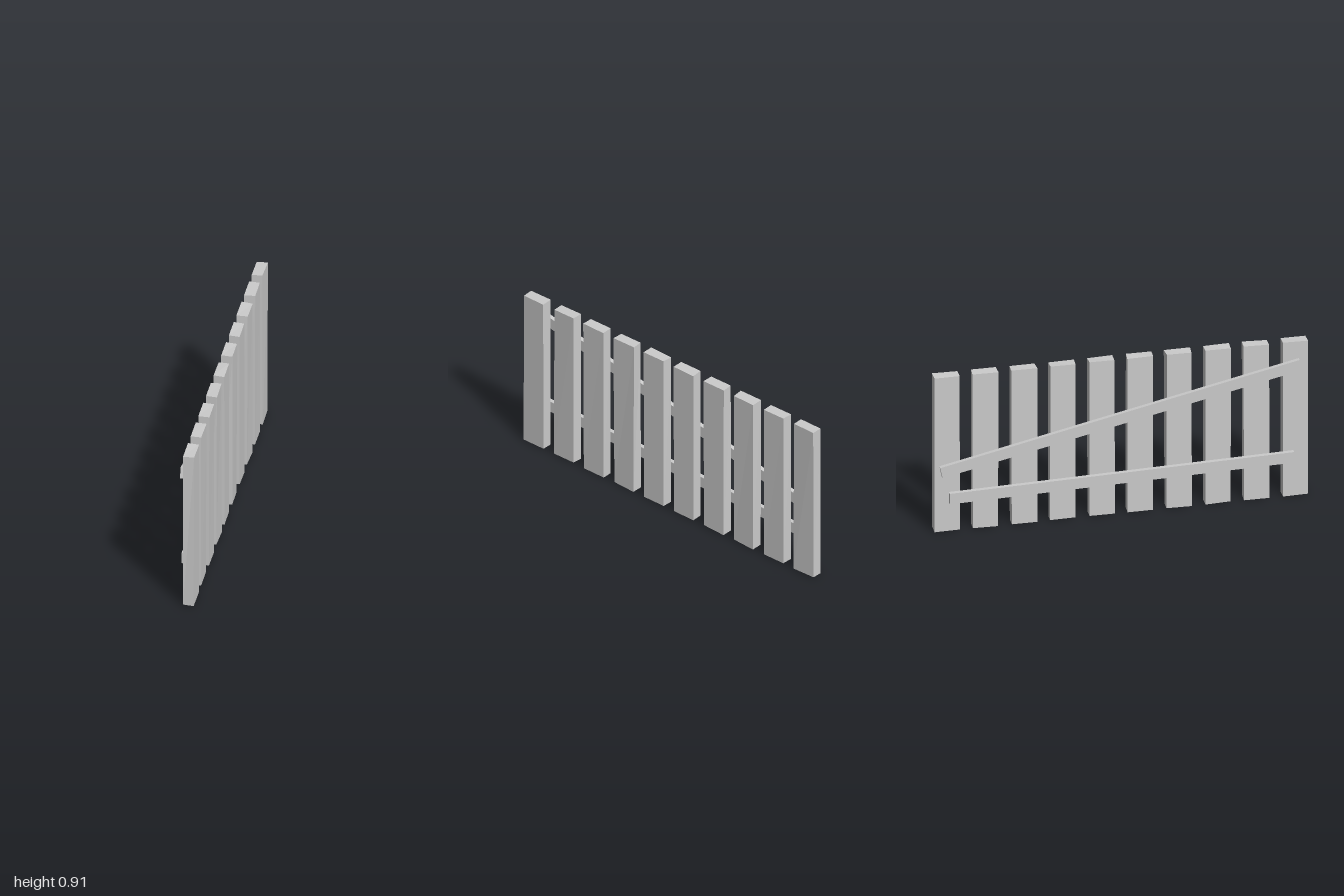
import * as THREE from 'three';

const material = new THREE.MeshStandardMaterial({ color: 0xcccccc, flatShading: true });

// Repeatable pseudo-random value in 0..1
function noise(seed) {
  const s = Math.sin(seed * 12.9898) * 43758.5453;
  return s - Math.floor(s);
}

// Rough-sawn plank: a box whose corners are pulled slightly inward, back kept flat
function createPlank(index, z) {
  const geometry = new THREE.BoxGeometry(0.06, 0.91, 0.142);
  const p = geometry.attributes.position;
  for (let i = 0; i < p.count; i++) {
    const sx = Math.sign(p.getX(i)), sy = Math.sign(p.getY(i)), sz = Math.sign(p.getZ(i));
    const corner = index * 8 + (sx > 0 ? 4 : 0) + (sy > 0 ? 2 : 0) + (sz > 0 ? 1 : 0) + 1;
    if (sx > 0) p.setX(i, p.getX(i) - 0.005 * noise(corner));
    p.setY(i, p.getY(i) - sy * 0.006 * noise(corner + 200));
    p.setZ(i, p.getZ(i) - sz * 0.006 * noise(corner + 400));
  }
  geometry.computeVertexNormals();
  const plank = new THREE.Mesh(geometry, material);
  plank.name = `plank${index + 1}`;
  plank.position.set(0.01, 0.457, z);
  return plank;
}

// Straight batten behind the planks, running between two (z, y) ends
function createRail(name, z0, y0, z1, y1) {
  const dz = z1 - z0, dy = y1 - y0;
  const rail = new THREE.Mesh(new THREE.BoxGeometry(0.023, 0.062, Math.hypot(dz, dy)), material);
  rail.name = name;
  rail.position.set(-0.0315, (y0 + y1) / 2, (z0 + z1) / 2);
  rail.rotation.x = -Math.atan2(dy, dz);
  return rail;
}

export function createModel() {
  const fence = new THREE.Group();
  fence.name = 'fencePanel';

  // Ten upright planks, evenly spaced
  const planks = new THREE.Group();
  planks.name = 'planks';
  for (let i = 0; i < 10; i++) planks.add(createPlank(i, 0.93 - i * (1.86 / 9)));
  fence.add(planks);

  // Sloping brace and nearly level lower rail
  fence.add(createRail('diagonalBrace', -0.965, 0.36, 0.955, 0.78));
  fence.add(createRail('lowerRail', -0.92, 0.202, 0.92, 0.24));
  return fence;
}
